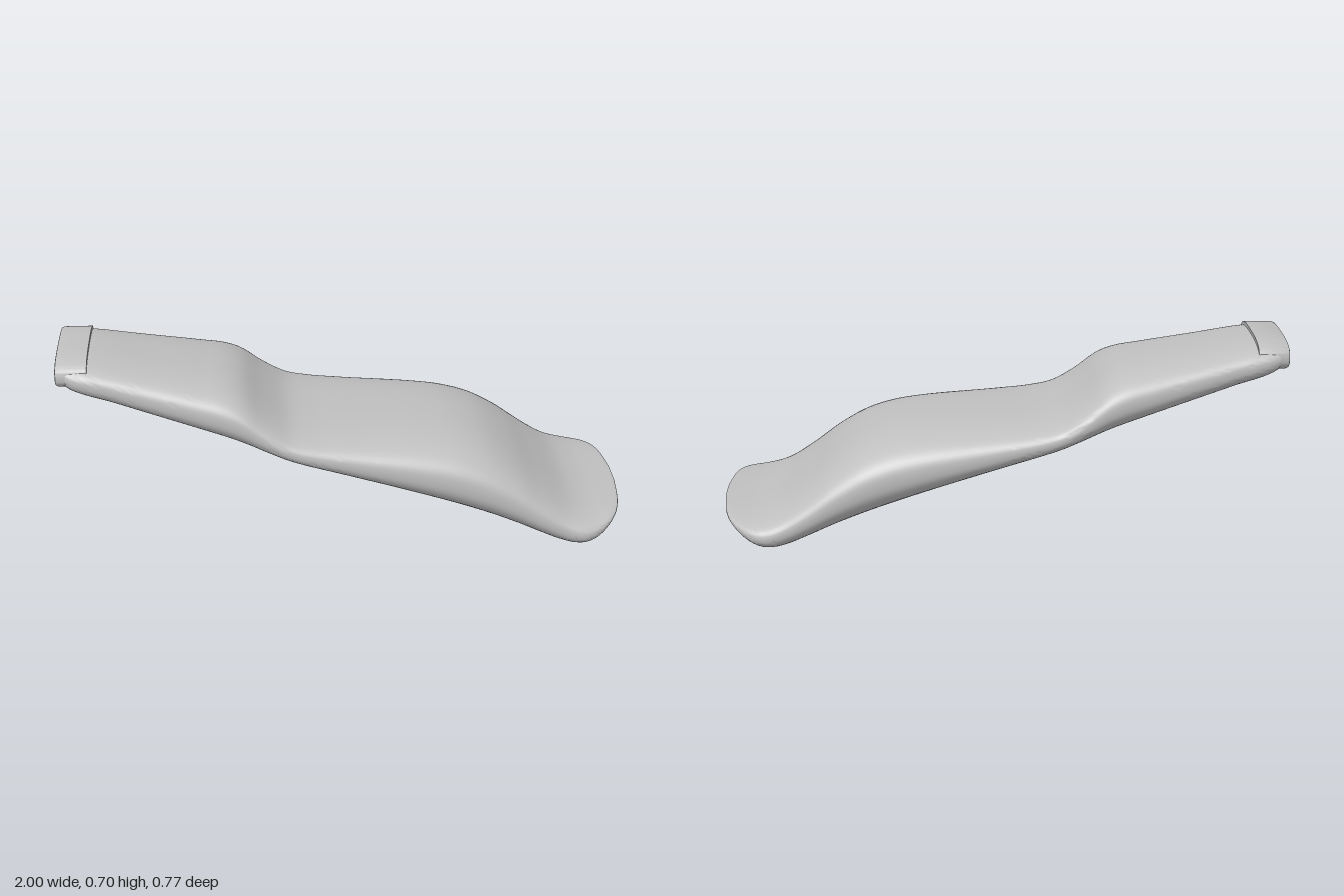
import * as THREE from 'three';
import { toCreasedNormals } from 'three/addons/utils/BufferGeometryUtils.js';

const SIDES = 72;

// Skins rings [x, bottom, top, halfWidth] with superellipse sections, closed at both ends
function loft(rings, power) {
  const pos = [], index = [];
  const bend = (v) => Math.sign(v) * Math.pow(Math.abs(v), 2 / power);
  for (const [x, bottom, top, w] of rings) {
    for (let j = 0; j < SIDES; j++) {
      const a = (j / SIDES) * Math.PI * 2;
      pos.push(x, (top + bottom) / 2 + bend(Math.sin(a)) * (top - bottom) / 2, bend(Math.cos(a)) * w);
    }
  }
  const last = rings.length - 1;
  for (let i = 0; i < last; i++) {
    for (let j = 0; j < SIDES; j++) {
      const a = i * SIDES + j, b = i * SIDES + (j + 1) % SIDES;
      index.push(a, a + SIDES, b, b, a + SIDES, b + SIDES);
    }
  }
  // end fans
  const centre = pos.length / 3;
  for (const r of [rings[0], rings[last]]) pos.push(r[0], (r[1] + r[2]) / 2, 0);
  for (let j = 0; j < SIDES; j++) {
    const k = (j + 1) % SIDES;
    index.push(centre, j, k, centre + 1, last * SIDES + k, last * SIDES + j);
  }
  const geo = new THREE.BufferGeometry();
  geo.setAttribute('position', new THREE.Float32BufferAttribute(pos, 3));
  geo.setIndex(index);
  return geo;
}

// Smooth curve through [x, value] points
function curve(points) {
  const f = new THREE.CubicInterpolant(points.map((p) => p[0]), points.map((p) => p[1]), 1, [0]);
  return (x) => f.evaluate(x)[0];
}

export function createModel() {
  const group = new THREE.Group();
  const grey = new THREE.MeshStandardMaterial({ color: 0xbfbfbf });
  grey.name = 'light grey';

  // wavy upper outline, nearly straight underside, widening plan with a rounded tip
  const top = curve([[-0.965, 0.698], [-0.89, 0.695], [-0.7, 0.663], [-0.5, 0.629], [-0.42, 0.614],
    [-0.36, 0.588], [-0.28, 0.52], [-0.2, 0.467], [-0.12, 0.449], [0, 0.44], [0.3, 0.421], [0.4, 0.405],
    [0.5, 0.37], [0.6, 0.308], [0.7, 0.228], [0.8, 0.16], [0.87, 0.137], [0.94, 0.13], [1, 0.127]]);
  const bottom = curve([[-0.965, 0.592], [-0.945, 0.58], [-0.8, 0.533], [-0.4, 0.402], [0, 0.27],
    [0.4, 0.136], [0.6, 0.067], [0.7, 0.03], [0.75, 0.013], [0.8, 0.004], [0.85, 0.008], [0.9, 0.033],
    [0.95, 0.075], [1, 0.122]]);
  const width = curve([[-0.965, 0.203], [-0.94, 0.214], [-0.8, 0.237], [-0.5, 0.286], [-0.3, 0.318],
    [-0.2, 0.331], [0, 0.342], [0.4, 0.364], [0.75, 0.383], [0.84, 0.385], [0.885, 0.368], [0.925, 0.335],
    [0.95, 0.302], [0.975, 0.245], [0.99, 0.17], [1, 0.06]]);

  const rings = [];
  const STEPS = 140;
  for (let i = 0; i <= STEPS; i++) {
    const x = 1 - 1.965 * Math.pow(1 - i / STEPS, 1.5);
    rings.push([x, bottom(x), top(x), width(x)]);
  }
  const body = new THREE.Mesh(toCreasedNormals(loft(rings, 2.6), 0.7), grey);
  body.name = 'body';
  group.add(body);

  // end cap: recessed face, rim, then a sleeve running into the body
  const inset = (x, d) => [x, 0.596 + d, 0.707 - d, 0.2 - d];
  const capRings = [inset(-0.985, 0.03), inset(-0.98, 0.033), inset(-0.98, 0.015), inset(-0.998, 0.014),
    inset(-1, 0.01), inset(-0.998, 0.004), inset(-0.99, 0), inset(-0.89, 0)];
  const cap = new THREE.Mesh(toCreasedNormals(loft(capRings, 3), 0.6), grey);
  cap.name = 'endCap';
  group.add(cap);

  return group;
}
